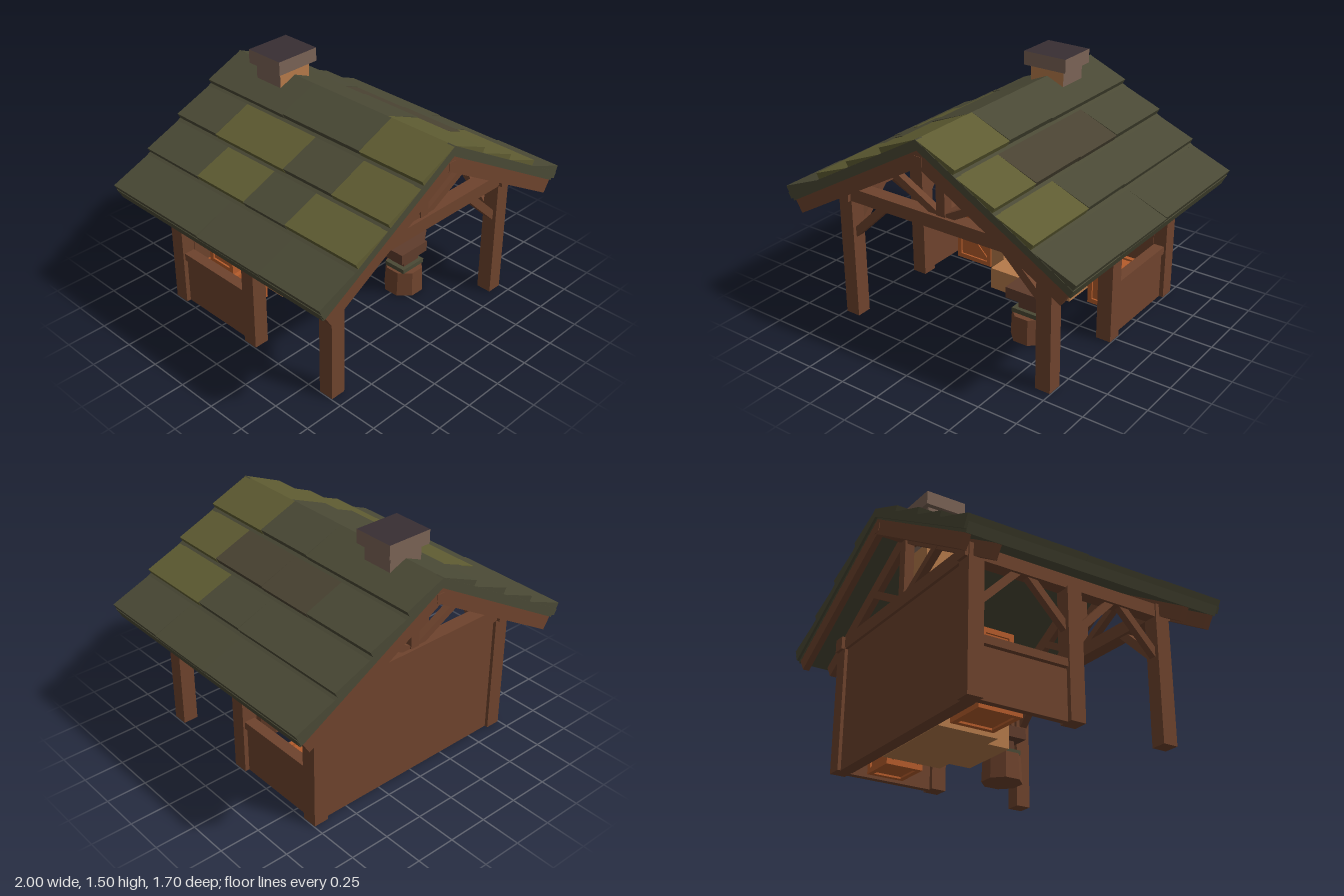
import * as THREE from 'three';

const mat = (name, color, side = THREE.FrontSide) => {
  const m = new THREE.MeshStandardMaterial({ color, side });
  m.name = name;
  return m;
};

export function createModel() {
  const wood = mat('timber', 0x6e432d);
  const dark = mat('darkShingle', 0x4a4935);
  const olive = mat('mossyShingle', 0x5f5c32);
  const umber = mat('brownShingle', 0x4a4332);
  const stone = mat('clayStone', 0xb57a4a);
  const orange = mat('orangeWood', 0xb55c2b);
  const cap = mat('chimneyCap', 0x7a6355);
  const soot = mat('soot', 0x382e33);
  const iron = mat('anvilBrown', 0x5f3c2c);

  const model = new THREE.Group();
  model.name = 'forge';
  const group = (name) => {
    const g = new THREE.Group();
    g.name = name;
    model.add(g);
    return g;
  };
  const add = (parent, name, geo, m) => {
    const mesh = new THREE.Mesh(geo, m);
    mesh.name = name;
    parent.add(mesh);
    return mesh;
  };
  const box = (parent, name, m, x0, x1, y0, y1, z0, z1) => {
    const mesh = add(parent, name, new THREE.BoxGeometry(x1 - x0, y1 - y0, z1 - z0), m);
    mesh.position.set((x0 + x1) / 2, (y0 + y1) / 2, (z0 + z1) / 2);
    return mesh;
  };
  // outline in x,y pushed along z
  const prism = (parent, name, m, pts, z0, z1) => {
    const shape = new THREE.Shape(pts.map(([x, y]) => new THREE.Vector2(x, y)));
    const geo = new THREE.ExtrudeGeometry(shape, { depth: z1 - z0, bevelEnabled: false });
    geo.translate(0, 0, z0);
    return add(parent, name, geo, m);
  };
  // square bar between two points
  const beam = (parent, name, m, a, b, w, d = w) => {
    const A = new THREE.Vector3(...a), B = new THREE.Vector3(...b);
    const dir = B.clone().sub(A), len = dir.length();
    const mesh = add(parent, name, new THREE.BoxGeometry(w, len, d), m);
    mesh.position.copy(A.add(B).multiplyScalar(0.5));
    mesh.quaternion.setFromUnitVectors(new THREE.Vector3(0, 1, 0), dir.normalize());
  };
  const flip = (pts, s) => pts.map(([x, y]) => [x * s, y]);
  const roofY = (x) => 1.37 - 0.577 * x;

  // Roof: base slabs, verges and overlapping shingle courses
  const roof = group('roof');
  const ends = [0, 0.257, 0.507, 0.743, 1];
  // per side and course: [z of tile start, material], running from back to front
  const layout = {
    '-1': [
      [[-0.85, dark], [-0.2, dark], [0.4, olive]],
      [[-0.85, dark], [-0.5, olive], [0.07, dark], [0.44, olive]],
      [[-0.85, dark], [-0.39, olive], [0, dark], [0.33, olive]],
      [[-0.85, dark], [-0.1, dark], [0.4, dark]],
    ],
    '1': [
      [[-0.85, dark], [-0.04, dark], [0.37, olive]],
      [[-0.85, dark], [-0.34, umber], [0.05, umber], [0.48, olive]],
      [[-0.85, dark], [-0.04, dark], [0.33, olive]],
      [[-0.85, dark], [-0.07, dark], [0.4, dark]],
    ],
  };
  for (const s of [-1, 1]) {
    const slab = [[0, 1.37], [0.985, roofY(0.985)], [0.96, 0.748], [0, 1.305]];
    prism(roof, 'roofBase', dark, flip(slab, s), -0.836, 0.836);
    const verge = [[0, 1.371], [0.985, roofY(0.985)], [0.965, 0.765], [0, 1.315]];
    prism(roof, 'frontVerge', dark, flip(verge, s), 0.8, 0.852);
    prism(roof, 'backVerge', dark, flip(verge, s), -0.852, -0.8);
    layout[s].forEach((tiles, i) => {
      const x0 = ends[i], x1 = ends[i + 1];
      tiles.forEach(([z0, m], j) => {
        const z1 = j + 1 < tiles.length ? tiles[j + 1][0] : 0.85;
        const y1 = roofY(x1) + 0.04 + ((j + i) % 2) * 0.005;
        const pts = [[x0, roofY(x0)], [x1, y1], [x1 - 0.02, y1 - 0.037], [x0, roofY(x0) - 0.03]];
        prism(roof, 'shingle', m, flip(pts, s), z0, z1);
      });
    });
    // rafters and gable boards
    const rafter = [[0, 1.305], [0.95, 0.765], [0.9, 0.685], [0, 1.205]];
    for (const z of [-0.815, -0.632, 0.632, 0.815])
      prism(roof, 'rafter', wood, flip(rafter, s), z - 0.02, z + 0.02);
  }
  box(roof, 'ridgeBeam', wood, -0.025, 0.025, 1.215, 1.27, -0.838, 0.838);

  // Timber frame
  const frame = group('frame');
  for (const s of [-1, 1]) {
    const x = s * 0.697;
    for (const z of [0.633, 0.002, -0.633])
      box(frame, 'post', wood, x - 0.048, x + 0.048, 0, 0.78, z - 0.048, z + 0.048);
    box(frame, 'wallPlate', wood, x - 0.04, x + 0.04, 0.77, 0.85, -0.7, 0.7);
    for (const [za, zb] of [[0.6, 0.35], [0.035, 0.285], [-0.03, -0.28], [-0.6, -0.35]])
      beam(frame, 'sideBrace', wood, [x, 0.54, za], [x, 0.79, zb], 0.045);
    beam(frame, 'frontBrace', wood, [s * 0.66, 0.55, 0.633], [s * 0.41, 0.79, 0.633], 0.05);
    // low side wall and rail
    box(frame, 'sideWall', wood, x - 0.02, x + 0.02, 0, 0.296, -0.6, -0.03);
    box(frame, 'sideRail', wood, x - 0.035, x + 0.035, 0.305, 0.352, -0.6, -0.03);
    for (const z of [-0.633, 0.633])
      beam(frame, 'trussStrut', wood, [s * 0.02, 0.84, z], [s * 0.37, 1.03, z], 0.045);
  }
  for (const z of [-0.633, 0.633]) {
    box(frame, 'tieBeam', wood, -0.745, 0.745, 0.77, 0.852, z - 0.046, z + 0.046);
    box(frame, 'kingPost', wood, -0.03, 0.03, 0.85, 1.25, z - 0.03, z + 0.03);
  }
  box(frame, 'backWall', wood, -0.66, 0.66, 0, 0.78, -0.66, -0.58);

  // Fireplace and chimney
  const fire = group('fireplace');
  box(fire, 'hearthBase', stone, -0.3, 0.3, 0, 0.14, -0.575, -0.2);
  box(fire, 'hearthFront', stone, -0.2, 0.2, 0, 0.14, -0.2, -0.06);
  for (const s of [-1, 1])
    box(fire, 'jamb', stone, s * 0.2525 - 0.0475, s * 0.2525 + 0.0475, 0.14, 0.37, -0.575, -0.2);
  box(fire, 'mantel', stone, -0.3, 0.3, 0.37, 0.475, -0.577, -0.195);
  const hood = new THREE.BoxGeometry(0.5, 0.165, 0.36);
  const p = hood.attributes.position;
  for (let i = 0; i < p.count; i++)
    if (p.getY(i) > 0) {
      p.setX(i, Math.sign(p.getX(i)) * 0.115);
      if (p.getZ(i) > 0) p.setZ(i, 0.025);
    }
  hood.computeVertexNormals();
  add(fire, 'hood', hood, stone).position.set(0, 0.5575, -0.39);
  box(fire, 'lowerChimney', stone, -0.115, 0.115, 0.64, 1.18, -0.567, -0.365);
  box(fire, 'upperChimney', [cap, cap, cap, cap, stone, cap], -0.115, 0.115, 1.18, 1.42, -0.567, -0.365);
  box(fire, 'chimneyCap', [cap, cap, soot, cap, cap, cap], -0.147, 0.147, 1.42, 1.505, -0.595, -0.335);
  for (const [x, h] of [[-0.11, 0.1], [0, 0.17], [0.115, 0.11]]) {
    const f = add(fire, 'flame', new THREE.ConeGeometry(0.085, h, 4, 1).toNonIndexed(), orange);
    f.geometry.computeVertexNormals();
    f.position.set(x, 0.14 + h / 2, -0.33);
  }

  // Crates: inset core, edge bars and diagonal planks
  const crate = (x0, x1, y0, y1, z0, z1, plank) => {
    const g = group('crate'), t = 0.03, e = 0.012;
    box(g, 'crateCore', orange, x0 + e, x1 - e, y0 + e, y1 - e, z0 + e, z1 - e);
    const lo = [x0, y0, z0], hi = [x1, y1, z1];
    for (let axis = 0; axis < 3; axis++)
      for (const u of [0, 1])
        for (const v of [0, 1]) {
          const a = [...lo], b = [...hi];
          [[(axis + 1) % 3, u], [(axis + 2) % 3, v]].forEach(([k, side]) => {
            if (side) a[k] = hi[k] - t;
            else b[k] = lo[k] + t;
          });
          box(g, 'crateBar', orange, a[0], b[0], a[1], b[1], a[2], b[2]);
        }
    if (!plank) return;
    const i = t + 0.01;
    beam(g, 'cratePlank', orange, [x0 + i, y1 - i, z1 - 0.012], [x1 - i, y0 + i, z1 - 0.012], 0.035, 0.014);
    for (const x of [x0 + 0.012, x1 - 0.012])
      beam(g, 'cratePlank', orange, [x, y1 - i, z1 - i], [x, y0 + i, z0 + i], 0.014, 0.035);
  };
  crate(-0.63, -0.36, 0, 0.275, -0.54, -0.27, true);
  crate(-0.6, -0.38, 0.275, 0.472, -0.51, -0.3, false);
  crate(0.39, 0.625, 0, 0.26, -0.5, -0.265, true);
  const hatch = [[-0.58, 0.32], [-0.5, 0.312], [-0.475, 0.345], [-0.47, 0.43], [-0.5, 0.445], [-0.575, 0.45]];
  prism(model, 'crateHatch', wood, hatch, -0.312, -0.304);

  // Anvil on a stump
  const anvil = group('anvil');
  const cx = 0.325, cz = 0.248;
  const stumpGeo = new THREE.CylinderGeometry(0.118, 0.126, 0.165, 8).toNonIndexed();
  stumpGeo.rotateY(Math.PI / 8);
  stumpGeo.computeVertexNormals();
  add(anvil, 'stump', stumpGeo, wood).position.set(cx, 0.0825, cz);
  box(anvil, 'anvilFoot', dark, 0.235, 0.42, 0.165, 0.193, cz - 0.075, cz + 0.075);
  box(anvil, 'anvilWaist', iron, 0.265, 0.4, 0.193, 0.255, cz - 0.05, cz + 0.05);
  box(anvil, 'anvilHead', iron, 0.2, 0.43, 0.255, 0.325, cz - 0.09, cz + 0.09);
  const horn = new THREE.BoxGeometry(0.09, 0.05, 0.14);
  const h = horn.attributes.position;
  for (let i = 0; i < h.count; i++)
    if (h.getX(i) > 0) {
      h.setZ(i, h.getZ(i) * 0.12);
      if (h.getY(i) < 0) h.setY(i, 0.015);
    }
  horn.computeVertexNormals();
  add(anvil, 'anvilHorn', horn, iron).position.set(0.473, 0.3, cz);

  return model;
}
